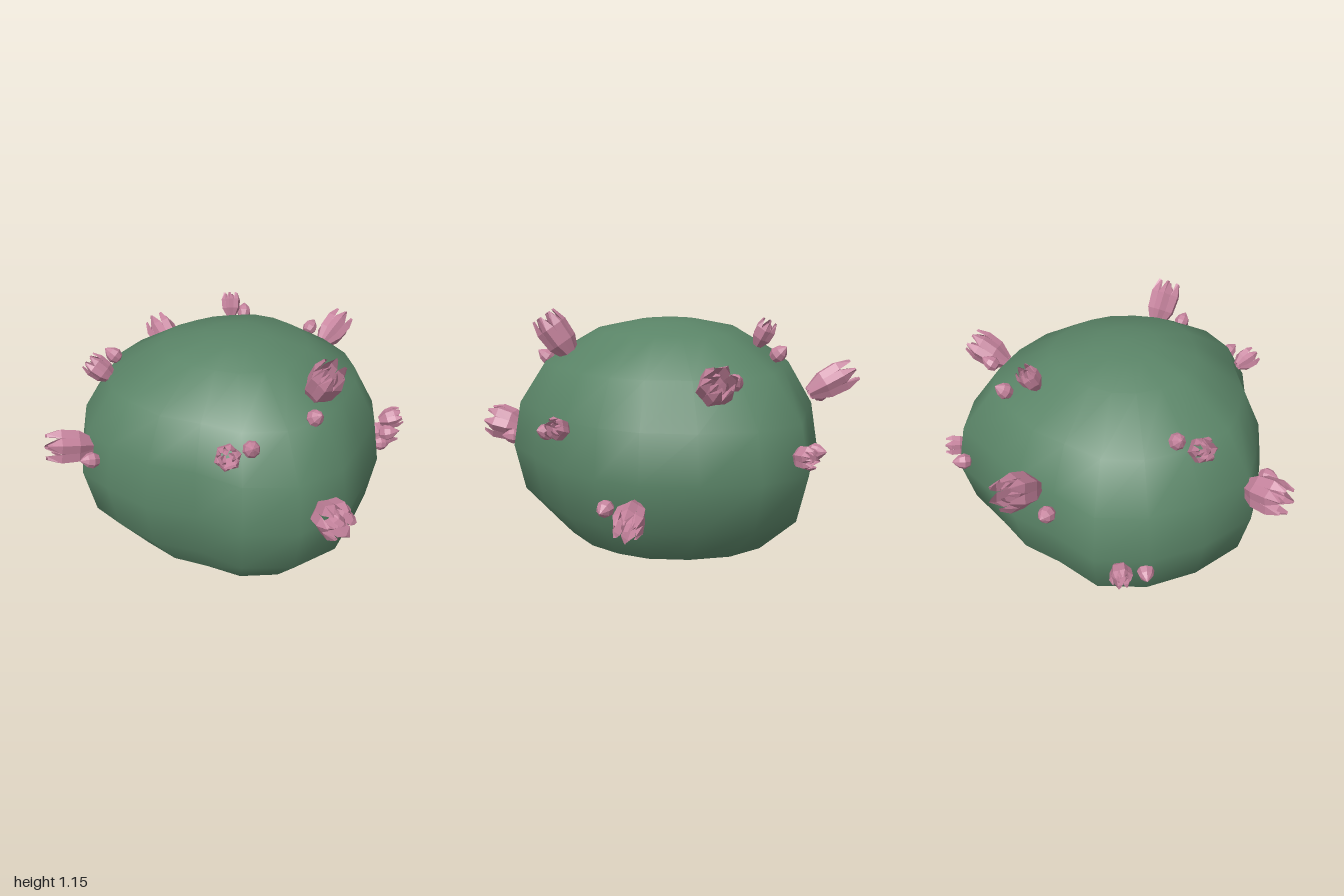
import * as THREE from 'three';

const green = new THREE.MeshStandardMaterial({ color: 0x5a8467 });
green.name = 'cactus green';
const pink = new THREE.MeshStandardMaterial({ color: 0xc4829c, side: THREE.DoubleSide, flatShading: true });
pink.name = 'flower pink';
const budPink = pink;

// Widest outline of the mound, seen from above (x, z)
const outline = [
  [0.79, 0], [0.74, 0.21], [0.64, 0.41], [0.45, 0.6], [0.26, 0.78], [0, 0.84], [-0.25, 0.75],
  [-0.41, 0.55], [-0.61, 0.4], [-0.75, 0.18], [-0.84, 0], [-0.79, -0.3], [-0.67, -0.55],
  [-0.48, -0.72], [-0.22, -0.74], [0, -0.79], [0.23, -0.76], [0.52, -0.74], [0.69, -0.54], [0.77, -0.27],
];
// Height, scale of the outline, blend towards a circle
const rings = [
  [0, 0.73, 0.3], [0.2, 0.94, 0.05], [0.44, 1, 0], [0.67, 0.95, 0.05],
  [0.88, 0.79, 0.35], [1.04, 0.46, 0.6], [1.085, 0.2, 0.8],
];

function ringPoint([x, z], [y, s, k]) {
  const f = s * (1 - k + (k * 0.8) / Math.hypot(x, z));
  return [x * f, y, z * f];
}

function geometryFrom(positions, index) {
  const g = new THREE.BufferGeometry();
  g.setAttribute('position', new THREE.Float32BufferAttribute(positions, 3));
  g.setIndex(index);
  g.computeVertexNormals();
  return g;
}

function mesh(name, geometry, material) {
  const m = new THREE.Mesh(geometry, material);
  m.name = name;
  return m;
}

// Lumpy smooth mound built from stacked rings
function moundGeometry() {
  const n = outline.length, pos = [], idx = [];
  for (const r of rings) for (const p of outline) pos.push(...ringPoint(p, r));
  pos.push(0, 1.1, 0);
  const top = rings.length * n;
  for (let j = 0; j < rings.length; j++) {
    for (let i = 0; i < n; i++) {
      const a = j * n + i, b = j * n + (i + 1) % n;
      if (j === rings.length - 1) idx.push(a, top, b);
      else idx.push(a, a + n, b, b, a + n, b + n);
    }
  }
  return geometryFrom(pos, idx);
}

function baseGeometry() {
  const n = outline.length, pos = [0, 0, 0], idx = [];
  outline.forEach((p, i) => {
    pos.push(...ringPoint(p, rings[0]));
    idx.push(0, i + 1, ((i + 1) % n) + 1);
  });
  return geometryFrom(pos, idx);
}

// Ridged petals curving up into an open cup, pointing along +y, unit radius and length
function flowerGeometry() {
  const pos = [], idx = [];
  // Height, radius, half angle of the petal
  const outer = [[0, 0.4, 0.5], [0.35, 0.88, 0.56], [0.72, 0.95, 0.5], [1, 0.72, 0.14]];
  const inner = [[0, 0.2, 0.5], [0.4, 0.55, 0.6], [0.7, 0.55, 0.5], [0.9, 0.3, 0.15]];
  const addPetal = (rows, angle) => {
    const start = pos.length / 3;
    for (const [y, r, w] of rows) {
      for (const side of [-1, 0, 1]) {
        const rr = side ? r * 0.88 : r * 1.06, a = angle + side * w;
        pos.push(rr * Math.cos(a), y, rr * Math.sin(a));
      }
    }
    for (let j = 0; j < rows.length - 1; j++) {
      for (let i = 0; i < 2; i++) {
        const a = start + j * 3 + i;
        idx.push(a, a + 3, a + 1, a + 1, a + 3, a + 4);
      }
    }
  };
  for (let i = 0; i < 6; i++) addPetal(outer, (i * Math.PI) / 3);
  for (let i = 0; i < 3; i++) addPetal(inner, (i * Math.PI * 2) / 3 + 0.5);
  return geometryFrom(pos, idx);
}

// Small pointed bud
function budGeometry() {
  const profile = [[0, -0.045], [0.028, -0.036], [0.041, -0.008], [0.033, 0.02], [0.013, 0.043], [0, 0.055]];
  return new THREE.LatheGeometry(profile.map(([x, y]) => new THREE.Vector2(x, y)), 8);
}

// Flower base, flower tip, radius, bud centre
const blooms = [
  [[0.21, 0.91, 0.46], [0.24, 1.12, 0.6], 0.085, [0.15, 0.9, 0.62]],
  [[0.13, 0.5, 0.77], [0.13, 0.55, 0.97], 0.095, [0.23, 0.48, 0.8]],
  [[-0.27, 0.79, 0.6], [-0.3, 0.83, 0.71], 0.062, [-0.17, 0.82, 0.65]],
  [[-0.77, 0.6, 0.02], [-1, 0.64, 0.02], 0.095, [-0.81, 0.6, 0.15]],
  [[0.77, 0.34, 0.02], [1, 0.31, 0.01], 0.075, [0.83, 0.34, 0.14]],
  [[0.63, 0.82, -0.28], [0.81, 0.93, -0.37], 0.085, [0.61, 0.88, -0.4]],
  [[0.66, 0.64, 0.36], [0.76, 0.68, 0.4], 0.055, [0.65, 0.63, 0.46]],
  [[-0.13, 0.69, -0.74], [-0.18, 0.82, -0.97], 0.09, [-0.28, 0.66, -0.81]],
  [[0.52, 0.53, -0.67], [0.59, 0.54, -0.76], 0.058, [0.43, 0.53, -0.77]],
  [[0.14, 0.98, -0.47], [0.16, 1.1, -0.53], 0.055, [0.26, 0.96, -0.58]],
  [[-0.61, 0.85, -0.19], [-0.72, 0.95, -0.24], 0.062, [-0.58, 0.94, -0.28]],
  [[-0.55, 0.39, -0.62], [-0.64, 0.4, -0.7], 0.055, [-0.66, 0.37, -0.56]],
];

export function createModel() {
  const model = new THREE.Group();
  model.name = 'floweringCactus';
  model.add(mesh('cactusBody', moundGeometry(), green), mesh('flatBase', baseGeometry(), green));

  const up = new THREE.Vector3(0, 1, 0);
  const flowerShape = flowerGeometry(), budShape = budGeometry();
  for (const [base, tip, radius, budAt] of blooms) {
    const from = new THREE.Vector3(...base);
    const dir = new THREE.Vector3(...tip).sub(from);
    const flower = mesh('flower', flowerShape, pink);
    flower.position.copy(from);
    flower.scale.set(radius, dir.length(), radius);
    flower.quaternion.setFromUnitVectors(up, dir.normalize());

    // Buds point straight out of the mound
    const bud = mesh('bud', budShape, budPink);
    bud.position.set(...budAt);
    bud.quaternion.setFromUnitVectors(up, new THREE.Vector3(budAt[0], budAt[1] - 0.4, budAt[2]).normalize());
    model.add(flower, bud);
  }
  return model;
}
